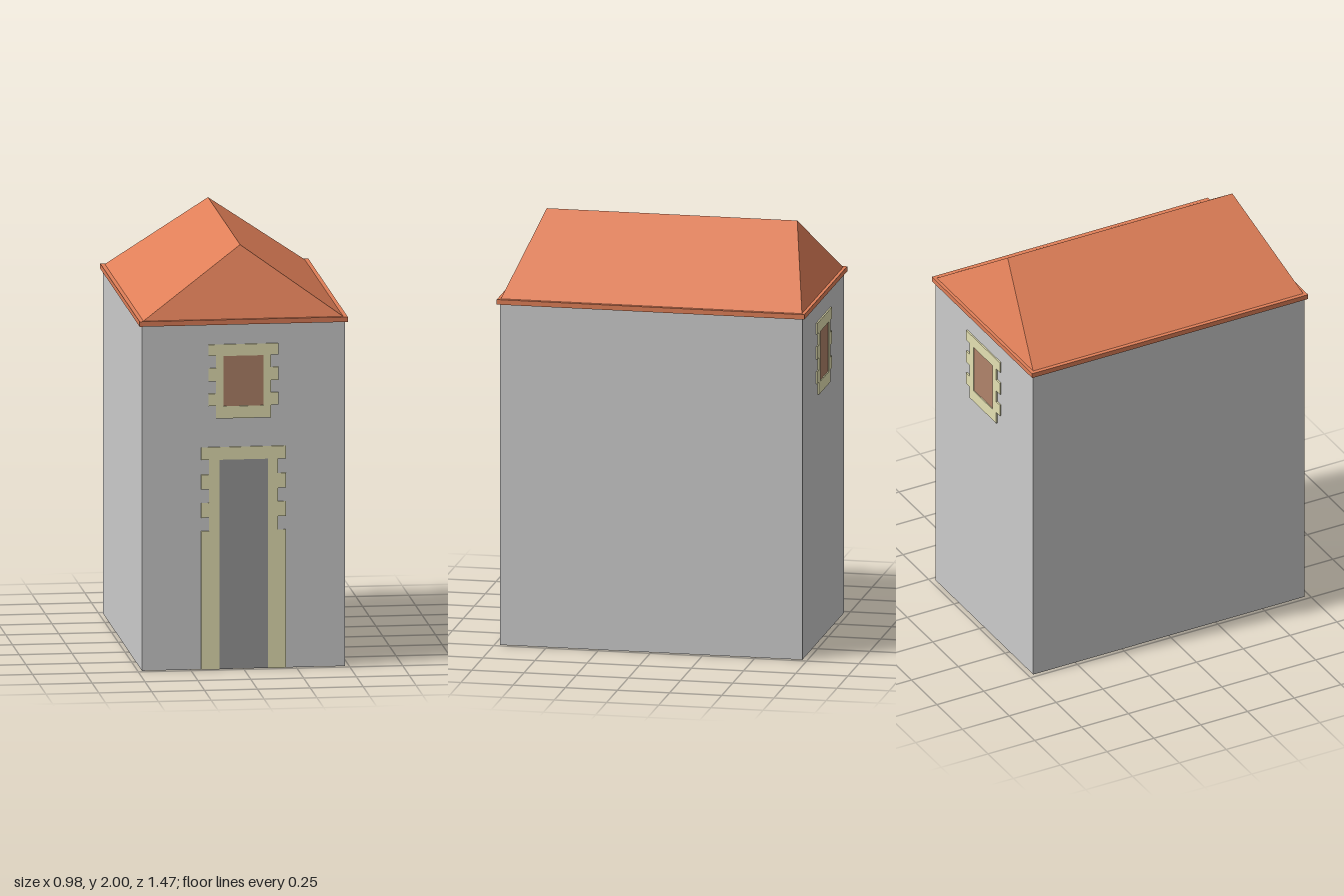
import * as THREE from 'three';

const W = 0.48, D = 0.725, EAVE = 1.665;

function mat(color) {
  return new THREE.MeshStandardMaterial({ color, flatShading: true });
}
const wallMat = mat(0xcccccc), roofMat = mat(0xe07f58), stoneMat = mat(0xe4e0b2);
const shutterMat = mat(0xb0836a), doorMat = mat(0x989898);

function add(parent, name, geometry, material) {
  const mesh = new THREE.Mesh(geometry, material);
  mesh.name = name;
  parent.add(mesh);
  return mesh;
}

// Toothed stone surround: ys are the course heights from top to bottom,
// alternating between the wide and the narrow half width.
function surround(ys, wide, narrow, hole, openBottom) {
  const [hw, y0, y1] = hole;
  const side = [];
  for (let i = 0; i < ys.length - 1; i++) {
    const x = i % 2 ? narrow : wide;
    side.push([x, ys[i]], [x, ys[i + 1]]);
  }
  const outer = side.map(([x, y]) => new THREE.Vector2(x, y));
  const left = side.map(([x, y]) => new THREE.Vector2(-x, y)).reverse();
  const opening = [[hw, y0], [hw, y1], [-hw, y1], [-hw, y0]].map(([x, y]) => new THREE.Vector2(x, y));
  let shape;
  if (openBottom) {
    shape = new THREE.Shape([...outer, ...opening, ...left]);
  } else {
    shape = new THREE.Shape([...outer, ...left]);
    shape.holes.push(new THREE.Path(opening));
  }
  return new THREE.ExtrudeGeometry(shape, { depth: 0.008, bevelEnabled: false });
}

function opening(name, ys, wide, narrow, hole, isDoor) {
  const group = new THREE.Group();
  group.name = name;
  add(group, name + 'Surround', surround(ys, wide, narrow, hole, isDoor), stoneMat).position.z = D - 0.001;
  const [hw, y0, y1] = hole;
  const panel = add(group, name + 'Panel', new THREE.BoxGeometry(hw * 2, y1 - y0, 0.004), isDoor ? doorMat : shutterMat);
  panel.position.set(0, (y0 + y1) / 2, D);
  return group;
}

// Hipped roof: four eave corners and two ridge ends
function hipRoof(w, d, y, ridgeZ, top) {
  const a = [-w, y, d], b = [w, y, d], c = [w, y, -d], e = [-w, y, -d];
  const f = [0, top, ridgeZ], g = [0, top, -ridgeZ];
  const tris = [a, b, f, b, c, g, b, g, f, c, e, g, e, a, f, e, f, g, a, e, c, a, c, b];
  const geometry = new THREE.BufferGeometry();
  geometry.setAttribute('position', new THREE.Float32BufferAttribute(tris.flat(), 3));
  geometry.computeVertexNormals();
  return geometry;
}

export function createModel() {
  const house = new THREE.Group();
  house.name = 'house';

  // Walls
  add(house, 'walls', new THREE.BoxGeometry(W * 2, 1.655, D * 2), wallMat).position.y = 1.655 / 2;

  // Roof with its eave band
  add(house, 'roof', hipRoof(W - 0.002, D - 0.002, EAVE, 0.6, 2), roofMat);
  add(house, 'eaveBand', new THREE.BoxGeometry(0.984, 0.024, 1.474), roofMat).position.y = 1.657;

  // Door on the front, a window at each gable end
  const doorCourses = [1.06, 1.0, 0.93, 0.86, 0.795, 0.725, 0.66, 0];
  // the run below the last notch is wide again
  house.add(opening('door', doorCourses, 0.2, 0.163, [0.115, 0, 1.0], true));

  const windowCourses = [1.55, 1.496, 1.437, 1.375, 1.316, 1.257, 1.197];
  for (const front of [true, false]) {
    const win = opening(front ? 'frontWindow' : 'backWindow', windowCourses, 0.165, 0.13, [0.095, 1.255, 1.495], false);
    if (!front) win.rotation.y = Math.PI;
    house.add(win);
  }
  return house;
}
